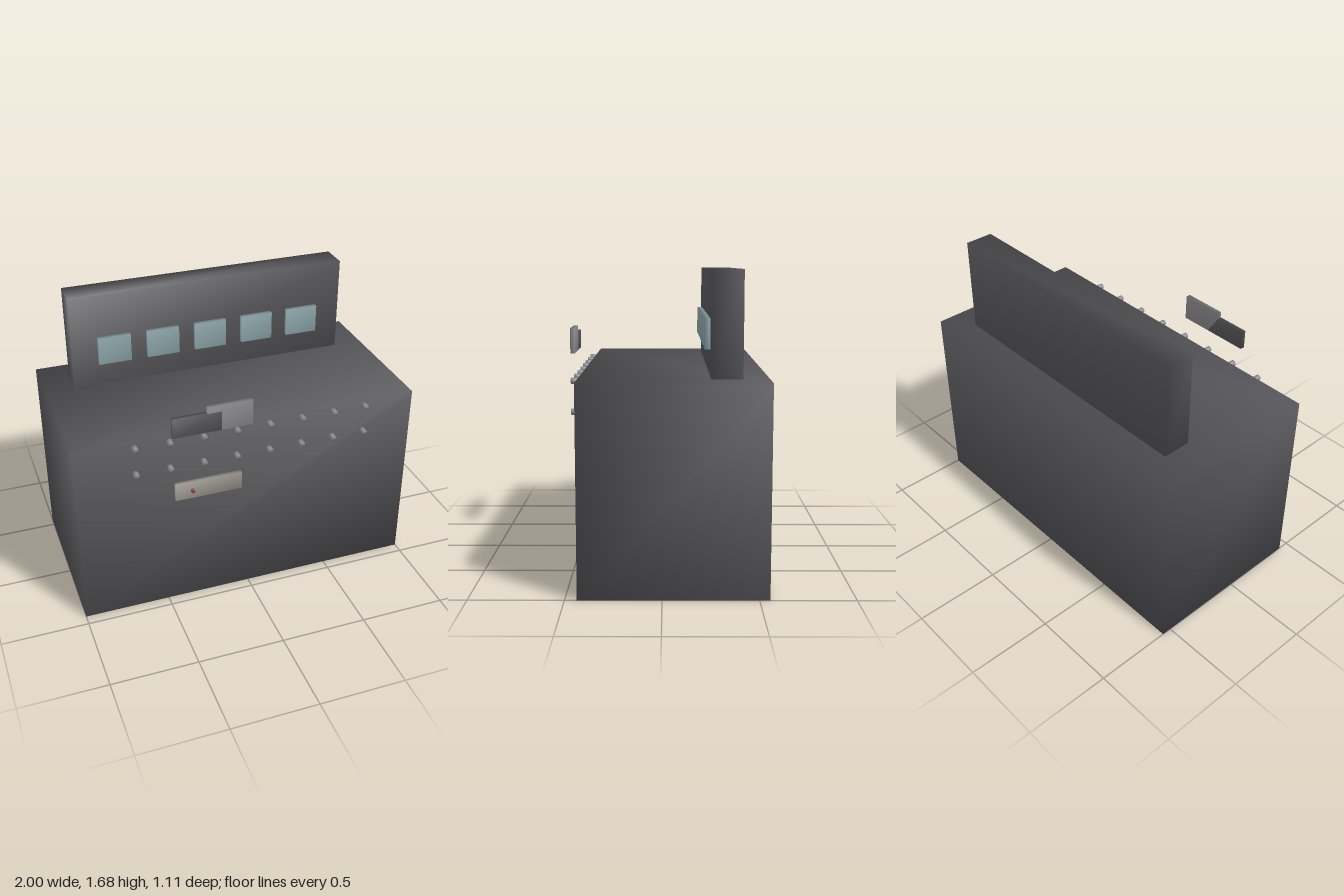
import * as THREE from 'three';
import { mergeVertices } from 'three/addons/utils/BufferGeometryUtils.js';

const mat = (color) => new THREE.MeshStandardMaterial({ color });
const dark = mat(0x56565a);
const glass = mat(0x8ba3a8);
const metal = mat(0x8a8a8c);
const beige = mat(0x99958c);
const red = mat(0x9c4040);

// Share corner normals so flat-sided parts shade softly
function soften(geometry) {
  geometry.deleteAttribute('uv');
  geometry.deleteAttribute('normal');
  const merged = mergeVertices(geometry);
  merged.computeVertexNormals();
  return merged;
}

export function createModel() {
  const model = new THREE.Group();

  const add = (name, geometry, material, x, y, z) => {
    const mesh = new THREE.Mesh(geometry, material);
    mesh.name = name;
    mesh.position.set(x, y, z);
    model.add(mesh);
    return mesh;
  };

  // Box given by its extents on each axis
  const box = (name, material, [x0, x1], [y0, y1], [z0, z1]) =>
    add(name, soften(new THREE.BoxGeometry(x1 - x0, y1 - y0, z1 - z0)), material,
      (x0 + x1) / 2, (y0 + y1) / 2, (z0 + z1) / 2);

  // Short peg pointing forward
  const peg = (name, material, radius, x, y, z0, z1) => {
    const geometry = new THREE.CylinderGeometry(radius, radius, z1 - z0, 16);
    geometry.rotateX(Math.PI / 2);
    add(name, soften(geometry), material, x, y, (z0 + z1) / 2);
  };

  // Cabinet and upright back panel
  box('cabinet', dark, [-1, 1], [0, 1.12], [-0.555, 0.437]);
  box('backPanel', dark, [-0.828, 0.828], [1.12, 1.68], [-0.417, -0.252]);

  // Row of display windows on the panel
  for (let i = 0; i < 5; i++) {
    const x = -0.582 + i * 0.29;
    box('displayWindow', glass, [x - 0.096, x + 0.096], [1.26, 1.423], [-0.252, -0.222]);
  }

  // Two rows of buttons in front of the cabinet
  for (const y of [1.095, 0.93])
    for (let i = 0; i < 8; i++)
      peg('button', metal, 0.017, -0.665 + i * 0.193, y, 0.449, 0.482);

  // Lower plate with its indicator light
  box('lowerPlate', beige, [-0.46, -0.075], [0.742, 0.847], [0.487, 0.512]);
  peg('indicatorLight', red, 0.011, -0.363, 0.794, 0.512, 0.528);

  // Pair of overlapping upper plates
  box('lightPlate', metal, [-0.287, -0.03], [1.175, 1.325], [0.528, 0.554]);
  box('darkPlate', dark, [-0.48, -0.207], [1.175, 1.288], [0.528, 0.555]);

  return model;
}
